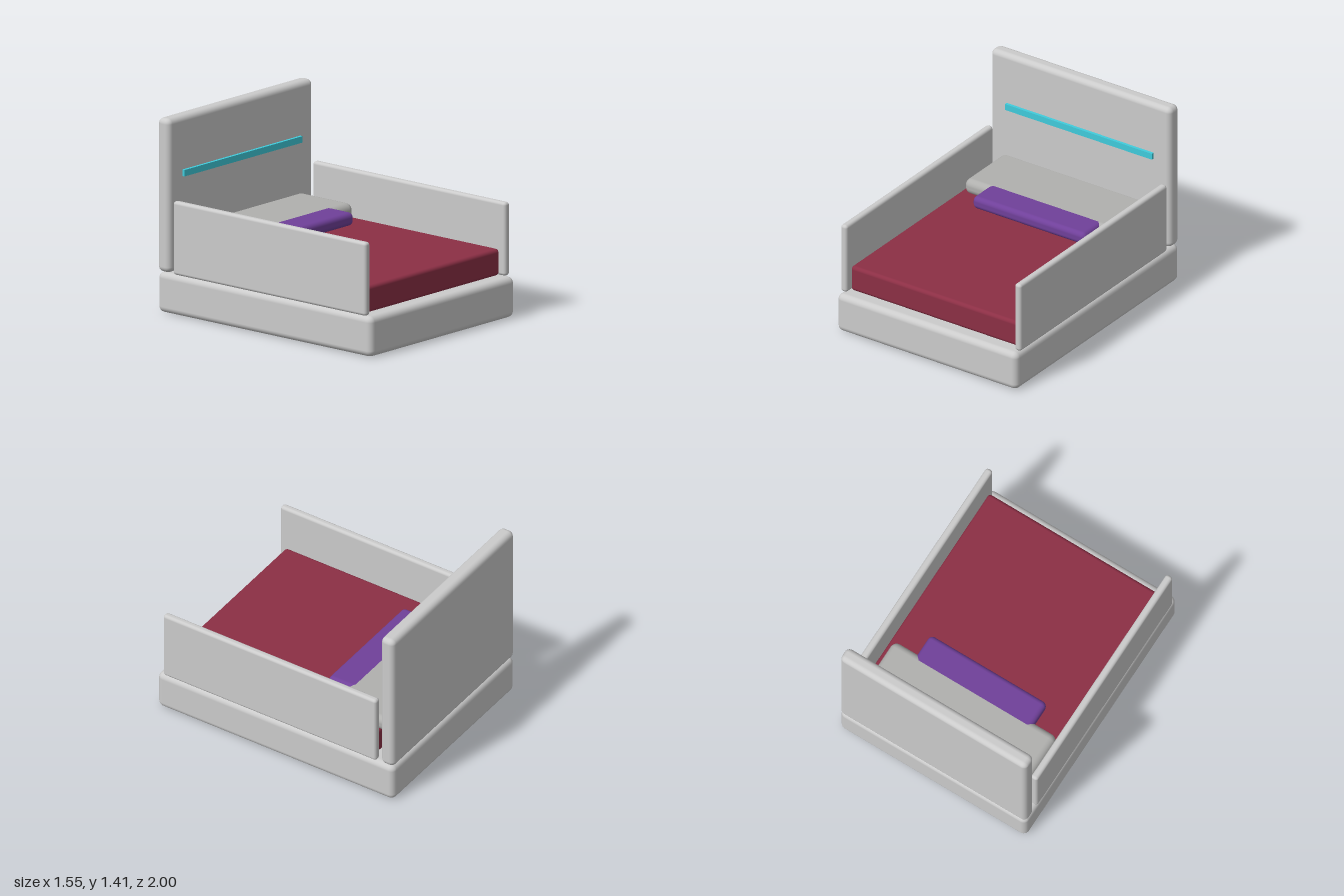
import * as THREE from 'three';
import { RoundedBoxGeometry } from 'three/addons/geometries/RoundedBoxGeometry.js';

const material = (color) => new THREE.MeshStandardMaterial({ color });

// Box given by its extents on each axis, with rounded edges when radius > 0
function block(name, [x0, x1], [y0, y1], [z0, z1], radius, mat) {
  const size = [x1 - x0, y1 - y0, z1 - z0];
  const geometry = radius > 0
    ? new RoundedBoxGeometry(...size, 3, radius)
    : new THREE.BoxGeometry(...size);
  const mesh = new THREE.Mesh(geometry, mat);
  mesh.name = name;
  mesh.position.set((x0 + x1) / 2, (y0 + y1) / 2, (z0 + z1) / 2);
  return mesh;
}

export function createModel() {
  const bed = new THREE.Group();
  bed.name = 'bed';

  const shell = material(0xcccccc);
  const red = material(0x8c2f45);
  const grey = material(0xb0b0ae);
  const purple = material(0x70409a);
  const cyan = material(0x40ccdc);

  // Frame
  bed.add(block('base', [-0.777, 0.777], [0, 0.295], [-1, 1], 0.045, shell));
  bed.add(block('headboard', [-0.777, 0.777], [0.295, 1.415], [-1, -0.887], 0.04, shell));
  for (const [name, side] of [['leftSidePanel', 1], ['rightSidePanel', -1]]) {
    const panel = block(name, [0.722, 0.777], [0.295, 0.83], [-0.852, 0.95], 0.022, shell);
    panel.position.x *= side;
    bed.add(panel);
  }

  // Bedding
  bed.add(block('mattress', [-0.725, 0.725], [0.295, 0.49], [-0.81, 0.9], 0.027, red));
  bed.add(block('pillow', [-0.682, 0.682], [0.49, 0.607], [-0.93, -0.422], 0.05, grey));
  bed.add(block('cushion', [-0.487, 0.487], [0.51, 0.606], [-0.53, -0.25], 0.036, purple));

  // Light strip on the headboard
  bed.add(block('lightStrip', [-0.633, 0.633], [0.98, 1.027], [-0.9, -0.865], 0, cyan));

  return bed;
}
